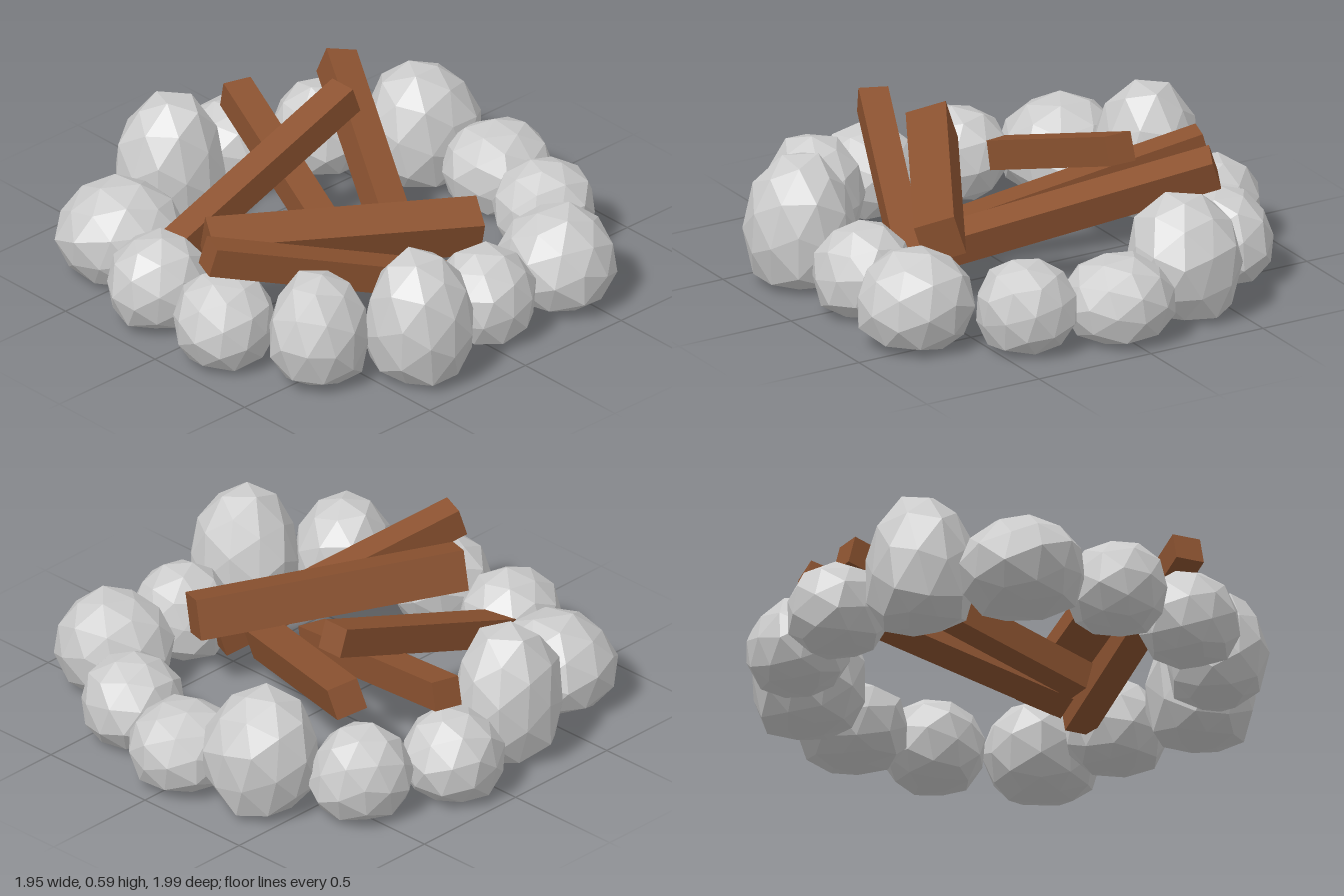
import * as THREE from 'three';
import { mergeVertices } from 'three/addons/utils/BufferGeometryUtils.js';

const stoneMaterial = new THREE.MeshStandardMaterial({ color: 0xcccccc, flatShading: true });
const woodMaterial = new THREE.MeshStandardMaterial({ color: 0x8b5230, flatShading: true });

// Small seeded generator, 0..1
function seeded(seed) {
  let s = seed * 7919 + 17;
  return () => (s = (s * 16807) % 2147483647) / 2147483647;
}

// Faceted boulder: a jittered icosphere with a squashed underside
function stone(index, x, z, rx, rz, top) {
  const random = seeded(index + 1);
  for (let i = 0; i < 5; i++) random();
  let geometry = new THREE.IcosahedronGeometry(1, 1);
  geometry.deleteAttribute('normal');
  geometry.deleteAttribute('uv');
  geometry = mergeVertices(geometry, 1e-3);
  const turn = random() * Math.PI * 2;
  geometry.rotateX(random() * 0.8);
  geometry.rotateY(turn);

  const base = 0.05, height = top - base, middle = base + 0.38 * height;
  const position = geometry.attributes.position;
  for (let i = 0; i < position.count; i++) {
    const bump = 0.96 + 0.08 * random();
    let y = position.getY(i) * bump;
    if (y >= 0) y = middle + y * 0.62 * height;
    else if (y > -0.6) y = middle + (y / 0.6) * 0.38 * height;
    else y = base + (y + 0.6) * 0.08;
    position.setXYZ(i, position.getX(i) * rx * bump, y, position.getZ(i) * rz * bump);
  }
  geometry.computeVertexNormals();
  const mesh = new THREE.Mesh(geometry, stoneMaterial);
  mesh.position.set(x, 0, z);
  mesh.name = `stone${index + 1}`;
  return mesh;
}

// Square beam between two end points, rolled about its own axis
function log(name, from, to, size, roll = 0) {
  const a = new THREE.Vector3(...from), b = new THREE.Vector3(...to);
  const mesh = new THREE.Mesh(new THREE.BoxGeometry(size, size, a.distanceTo(b)), woodMaterial);
  mesh.position.copy(a).add(b).multiplyScalar(0.5);
  mesh.lookAt(b);
  mesh.rotateZ(roll);
  mesh.name = name;
  return mesh;
}

export function createModel() {
  const group = new THREE.Group();
  group.name = 'campfire';

  // Ring of stones: x, z, half width, half depth, top
  const ring = new THREE.Group();
  ring.name = 'stoneRing';
  [
    [0.01, -0.78, 0.22, 0.22, 0.35],
    [0.37, -0.69, 0.2, 0.2, 0.38],
    [0.71, -0.44, 0.235, 0.225, 0.41],
    [0.71, -0.06, 0.2, 0.2, 0.38],
    [0.76, 0.33, 0.22, 0.215, 0.54],
    [0.52, 0.63, 0.195, 0.205, 0.47],
    [0.17, 0.8, 0.205, 0.2, 0.38],
    [-0.22, 0.78, 0.195, 0.205, 0.38],
    [-0.59, 0.63, 0.24, 0.25, 0.39],
    [-0.73, 0.24, 0.21, 0.225, 0.57],
    [-0.79, -0.13, 0.2, 0.205, 0.37],
    [-0.64, -0.48, 0.195, 0.205, 0.38],
    [-0.33, -0.7, 0.225, 0.23, 0.51],
  ].forEach((values, i) => ring.add(stone(i, ...values)));
  group.add(ring);

  // Pile of leaning logs
  const logs = new THREE.Group();
  logs.name = 'logs';
  logs.add(
    log('straightLog', [-0.3, 0.2, 0.69], [-0.3, 0.55, -0.28], 0.115),
    log('backLog', [0.36, 0.17, 0.02], [-0.59, 0.49, -0.5], 0.125, 0.25),
    log('sideLog', [0.25, 0.15, 0.18], [-0.76, 0.43, -0.13], 0.115),
    log('thickLog', [0.48, 0.32, -0.24], [-0.045, 0.37, 0.685], 0.16, -0.3),
    log('frontLog', [0.51, 0.15, -0.08], [0.125, 0.46, 0.84], 0.115)
  );
  group.add(logs);
  return group;
}
